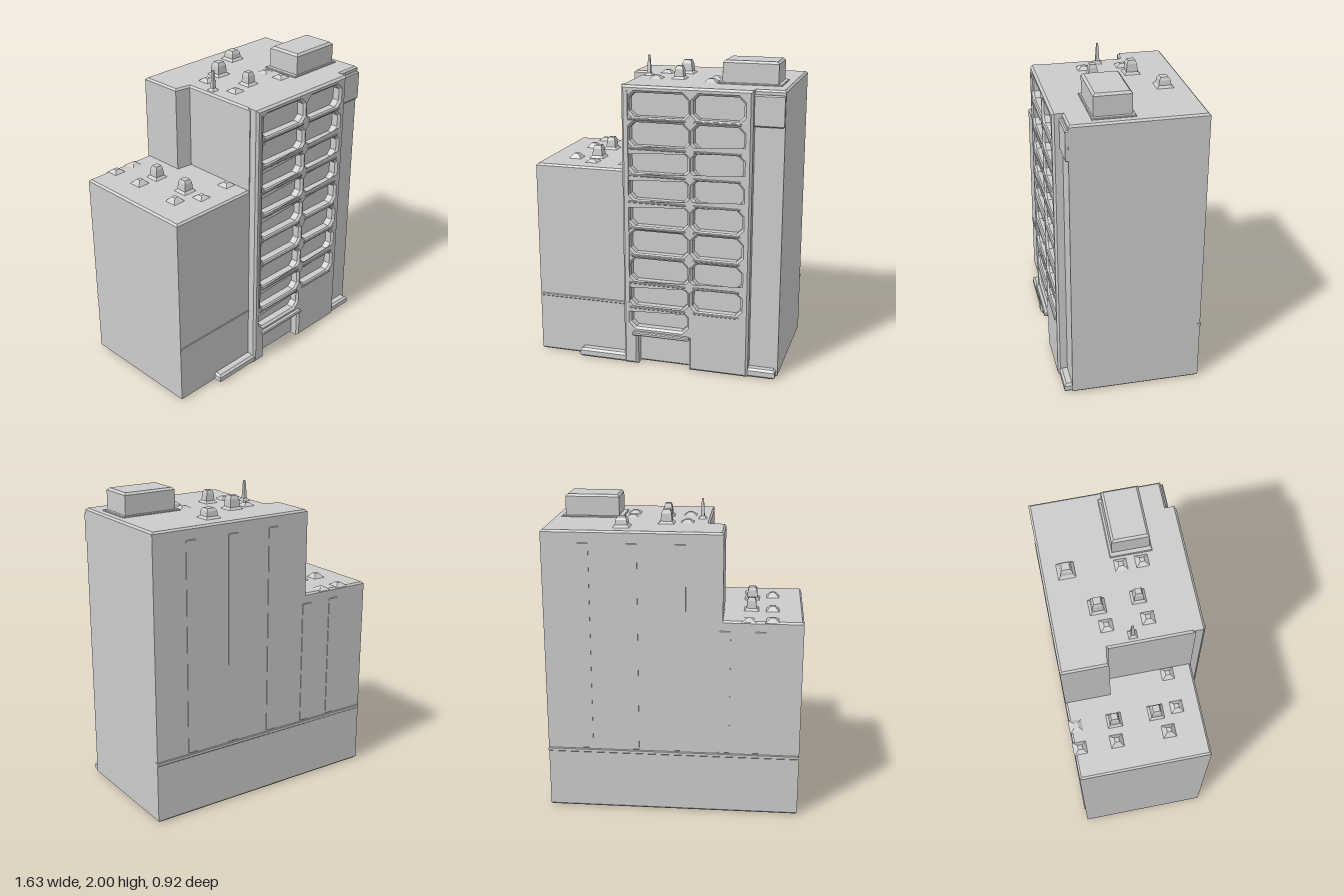
import * as THREE from 'three';

const material = new THREE.MeshStandardMaterial({ color: 0xcccccc });
const flat = new THREE.MeshStandardMaterial({ color: 0xcccccc, flatShading: true });

function polygon(points, Type = THREE.Shape) {
  return new Type(points.map(([x, y]) => new THREE.Vector2(x, y)));
}

// Extrusion whose bevel stays inside the given outline and depth
function bevelled(shape, depth, bevel) {
  const geo = new THREE.ExtrudeGeometry(shape, {
    depth: depth - 2 * bevel, bevelEnabled: true, bevelSize: bevel,
    bevelThickness: bevel, bevelOffset: -bevel, bevelSegments: 1,
  });
  return geo.translate(0, 0, bevel);
}

export function createModel() {
  const model = new THREE.Group();
  const add = (name, geo, mat = material) => {
    const mesh = new THREE.Mesh(geo, mat);
    mesh.name = name;
    model.add(mesh);
    return mesh;
  };

  // Block standing on a plan outline given as [x, z] points
  const block = (name, plan, y0, y1, bevel = 0.012) => {
    const shape = polygon(plan.map(([x, z]) => [x, -z]));
    add(name, bevelled(shape, y1 - y0, bevel).rotateX(-Math.PI / 2).translate(0, y0, 0));
  };
  const box = (name, x0, x1, y0, y1, z0, z1, bevel = 0.004) =>
    block(name, [[x0, z0], [x0, z1], [x1, z1], [x1, z0]], y0, y1, bevel);

  // Main masses
  block('tower', [[-0.315, -0.47], [-0.315, -0.18], [-0.21, -0.165], [-0.21, 0.36],
    [0.81, 0.36], [0.81, -0.47]], 0, 1.855);
  box('lowerWing', -0.815, -0.15, 0, 1.305, -0.47, 0.36, 0.012);

  // Facade with chamfered balcony openings and a doorway notch
  const facade = polygon([[-0.205, 0], [-0.11, 0], [-0.11, 0.215], [0.235, 0.215], [0.235, 0],
    [0.625, 0], [0.625, 1.855], [-0.205, 1.855]]);
  const rows = [1.735, 1.55, 1.378, 1.205, 1.03, 0.847, 0.66, 0.49, 0.33];
  const opening = (x0, x1, y, h) => {
    const c = 0.035, b = y - h / 2, t = y + h / 2;
    facade.holes.push(polygon([[x0 + c, b], [x0, b + c], [x0, t - c], [x0 + c, t],
      [x1 - c, t], [x1, t - c], [x1, b + c], [x1 - c, b]], THREE.Path));
  };
  rows.forEach((y, i) => {
    const h = i === 8 ? 0.135 : 0.15;
    opening(-0.155, 0.22, y, h);
    if (i < 8) opening(0.255, 0.57, y, h);
  });
  add('balconyFacade', bevelled(facade, 0.09, 0.014).translate(0, 0, 0.33));

  // Thin floor lips and vertical edge strip
  rows.slice(0, 8).forEach((y) => {
    box('floorLip', -0.165, 0.21, y - 0.095, y - 0.083, 0.40, 0.428, 0.003);
    box('floorLip', 0.26, 0.56, y - 0.095, y - 0.083, 0.40, 0.426, 0.003);
  });
  box('edgeStrip', -0.172, -0.162, 0.43, 1.82, 0.40, 0.426, 0.003);
  box('doorCanopy', -0.14, 0.24, 0.21, 0.235, 0.38, 0.445, 0.006);

  // Recessed corner bay and low ledges
  box('cornerPlinth', 0.6, 0.8, 0, 0.06, 0.34, 0.41, 0.014);
  box('cornerTopBay', 0.6, 0.808, 1.63, 1.825, 0.34, 0.378, 0.008);
  box('wingLedge', -0.52, -0.19, 0, 0.06, 0.34, 0.415, 0.014);

  // Shallow storey band and rear pilasters
  box('rearBand', -0.812, 0.812, 0.39, 0.415, -0.477, -0.45);
  box('wingBand', -0.812, -0.2, 0.39, 0.41, 0.34, 0.365);
  [-0.55, -0.33, -0.05, 0.25, 0.55].forEach((x) =>
    box('rearPilaster', x - 0.035, x + 0.035, 0.42, x < -0.32 ? 1.24 : 1.78, -0.474, -0.45));

  // Rooftop plant room
  box('plantRoom', 0.385, 0.735, 1.84, 2.0, -0.028, 0.203, 0.014);
  box('plantRoomSkirt', 0.355, 0.76, 1.84, 1.864, -0.045, 0.215);

  // Square vents with flared feet: [x, z, roof, height, half width]
  const vents = [
    [0.06, -0.18, 1.852, 0.09, 0.032], [0.075, 0.07, 1.852, 0.085, 0.026],
    [0.325, -0.32, 1.852, 0.065, 0.035], [-0.155, -0.01, 1.852, 0.133, 0.008],
    [-0.485, -0.19, 1.302, 0.085, 0.028], [-0.485, 0.075, 1.302, 0.085, 0.03],
  ];
  vents.forEach(([x, z, roof, h, w]) => {
    const r = w * Math.SQRT2;
    const profile = [[r + 0.03, 0], [r + 0.006, 0.018], [r, h * 0.75], [r * 0.7, h], [0, h]]
      .map(([a, b]) => new THREE.Vector2(a, b));
    add('roofVent', new THREE.LatheGeometry(profile, 4, Math.PI / 4).translate(x, roof, z), flat);
  });

  // Low roof hatches: [x, z, roof, height]
  const hatches = [
    [-0.07, -0.15, 1.85, 0.025], [-0.07, 0.1, 1.85, 0.025], [0.3, 0.01, 1.85, 0.02],
    [0.3, 0.14, 1.85, 0.025], [-0.62, -0.43, 1.3, 0.025], [-0.62, -0.2, 1.3, 0.035],
    [-0.475, -0.43, 1.3, 0.02], [-0.62, 0.13, 1.3, 0.035], [-0.475, 0.21, 1.3, 0.025],
    [-0.25, 0.2, 1.3, 0.025],
  ];
  hatches.forEach(([x, z, roof, h]) => {
    const geo = new THREE.CylinderGeometry(0.02, 0.065, h, 4, 1).rotateY(Math.PI / 4);
    add('roofHatch', geo.translate(x, roof + h / 2, z), flat);
  });

  return model;
}
